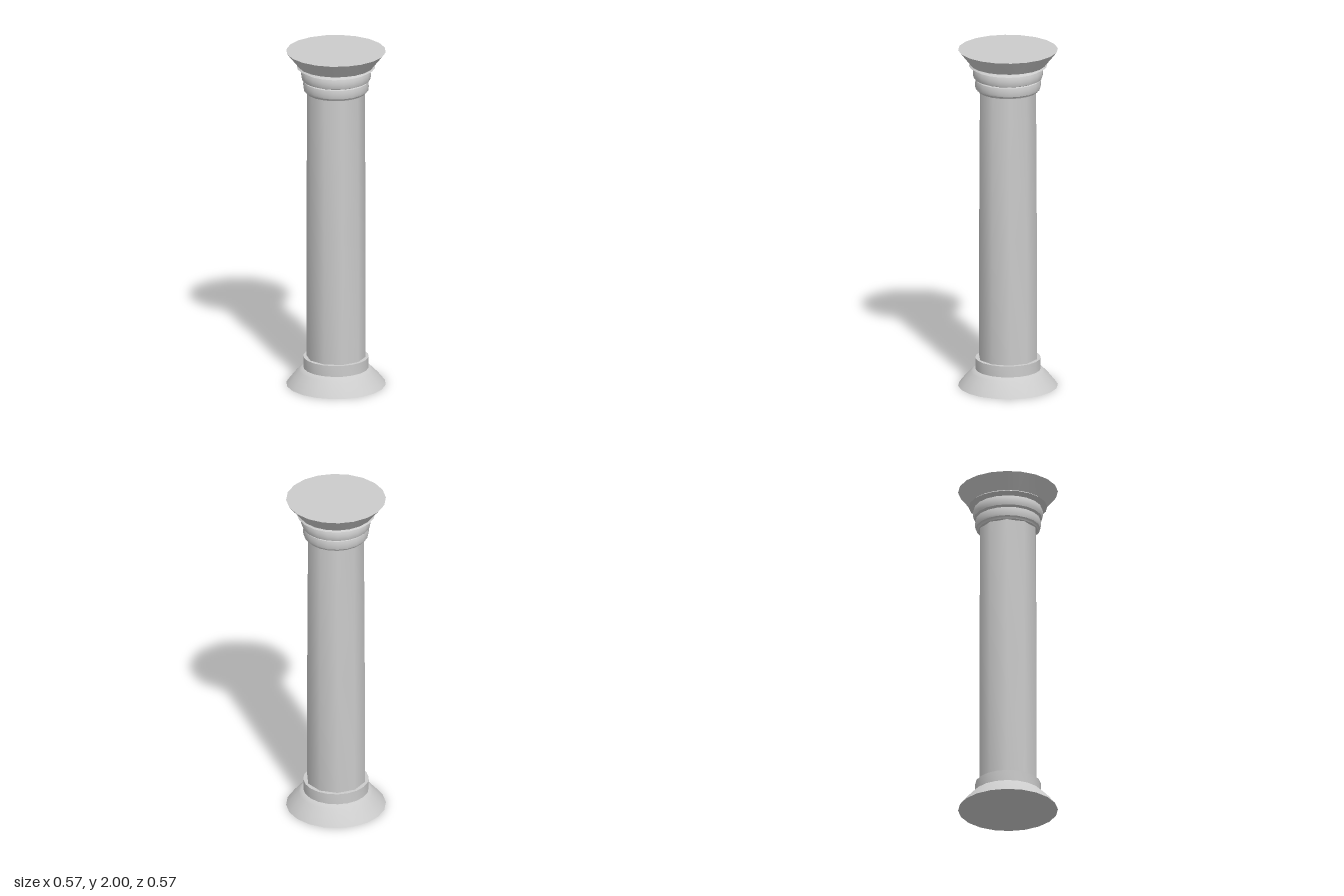
import * as THREE from 'three';
import { toCreasedNormals } from 'three/addons/utils/BufferGeometryUtils.js';

const material = new THREE.MeshStandardMaterial({ color: 0xcccccc });

// Turned part from a [radius, height] profile listed from bottom to top
function turned(name, profile, sides) {
  const points = profile.map(([r, y]) => new THREE.Vector2(r, y));
  const geometry = toCreasedNormals(new THREE.LatheGeometry(points, sides), 0.75);
  const mesh = new THREE.Mesh(geometry, material);
  mesh.name = name;
  return mesh;
}

// Half-round bulge profile between two heights
function bulge(inner, outer, y0, y1, steps = 6) {
  return Array.from({ length: steps + 1 }, (_, i) => {
    const a = (i / steps) * Math.PI;
    return [
      inner + (outer - inner) * Math.sqrt(Math.sin(a) + 1e-9),
      (y0 + y1) / 2 - Math.cos(a) * (y1 - y0) / 2,
    ];
  });
}

export function createModel() {
  const column = new THREE.Group();
  column.name = 'column';

  // Flared foot with a plain collar around the shaft
  column.add(turned('base', [
    [0, 0], [0.285, 0], [0.245, 0.05], [0.213, 0.083], [0.2, 0.095],
    [0.187, 0.1], [0.187, 0.165], [0.15, 0.165],
  ], 20));

  // Ten-sided, slightly tapering shaft
  column.add(turned('shaft', [[0.17, 0.1], [0.17, 0.9], [0.165, 1.8]], 10));

  // Two rounded rings below a flared, flat-topped slab
  column.add(turned('capital', [
    [0.15, 1.75], [0.172, 1.755],
    ...bulge(0.177, 0.188, 1.765, 1.825),
    ...bulge(0.182, 0.2, 1.828, 1.893),
    [0.198, 1.897], [0.224, 1.905], [0.215, 1.913],
    [0.285, 2], [0, 2],
  ], 20));

  return column;
}
